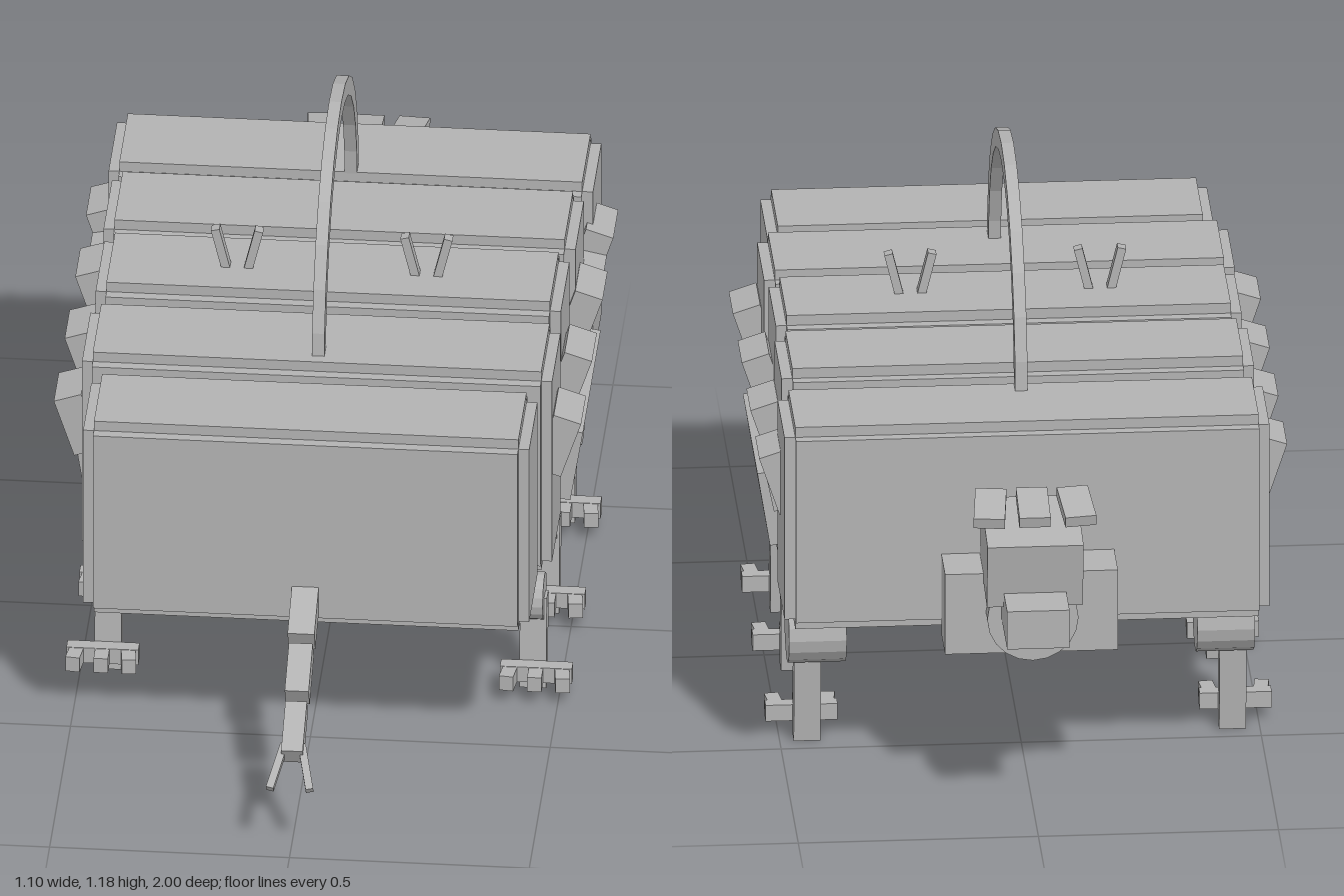
import * as THREE from 'three';

export function createModel() {
  const root = new THREE.Group();
  const grey = new THREE.MeshStandardMaterial({ color: 0xb2b2b2, flatShading: true });
  grey.name = 'plain grey';

  const add = (name, geo, pos, rot = [0, 0, 0], parent = root) => {
    const mesh = new THREE.Mesh(geo, grey);
    mesh.name = name;
    mesh.position.set(...pos);
    mesh.rotation.set(...rot);
    parent.add(mesh);
    return mesh;
  };
  const box = (name, size, pos, rot, parent) =>
    add(name, new THREE.BoxGeometry(...size), pos, rot, parent);

  // Body segments: three crossed boxes give each one stepped edges
  const segments = [ // [z centre, depth, half width, bottom, top]
    [0.502, 0.24, 0.465, 0.344, 0.803],
    [0.24, 0.245, 0.49, 0.34, 0.817],
    [-0.03, 0.25, 0.485, 0.345, 0.83],
    [-0.297, 0.245, 0.492, 0.34, 0.823],
    [-0.567, 0.245, 0.505, 0.35, 0.805],
  ];
  const step = 0.045;
  segments.forEach(([z, d, hw, y0, y1], i) => {
    const seg = new THREE.Group();
    seg.name = 'bodySegment' + (i + 1);
    seg.position.set(0, (y0 + y1) / 2, z);
    const outer = [hw * 2, y1 - y0, d];
    for (let axis = 0; axis < 3; axis++) {
      const size = outer.map((v, k) => (k === axis ? v : v - step));
      box('segmentShell', size, [0, 0, 0], [0, 0, 0], seg);
    }
    root.add(seg);
  });
  box('spineLink', [0.07, 0.07, 0.06], [0, 0.485, 0.37]);

  // Arched handle with a square section
  const arch = new THREE.Shape();
  const sides = 14, rim = [];
  for (let i = 0; i <= sides; i++) rim.push((Math.PI * i) / sides);
  rim.forEach((a, i) => arch[i ? 'lineTo' : 'moveTo'](0.415 * Math.cos(a), 0.415 * Math.sin(a)));
  rim.reverse().forEach((a) => arch.lineTo(0.375 * Math.cos(a), 0.375 * Math.sin(a)));
  const archGeo = new THREE.ExtrudeGeometry(arch, { depth: 0.026, bevelEnabled: false });
  archGeo.translate(0, 0, -0.013);
  add('handle', archGeo, [0, 0.775, -0.095], [0, Math.PI / 2, 0]);

  // Leg: thigh, knee drum, shin, foot bar and three toes
  const legs = [ // [z, knee height, knee radius, knee width, thigh thickness]
    [0.23, 0.215, 0.05, 0.08, 0.05],
    [-0.08, 0.225, 0.046, 0.08, 0.05],
    [-0.455, 0.26, 0.07, 0.12, 0.06],
  ];
  const leg = (s, [z, knee, r, w, t]) => {
    const g = new THREE.Group();
    g.name = 'leg';
    g.position.set(s * 0.425, 0, z);
    box('thigh', [0.055, 0.4 - knee, t], [-s * 0.01, (0.4 + knee) / 2, 0], [0, 0, -s * 0.1], g);
    add('knee', new THREE.CylinderGeometry(r, r, w, 16), [0, knee, 0], [0, 0, Math.PI / 2], g);
    box('shin', [0.056, knee - 0.008, 0.04], [s * 0.018, knee / 2 + 0.006, 0.005], [-0.08, 0, 0], g);
    box('footBar', [0.15, 0.036, 0.03], [s * 0.027, 0.058, 0.045], [0, 0, 0], g);
    for (const k of [-1, 0, 1])
      box('toe', [0.03, 0.034, 0.05], [s * 0.027 + k * 0.056, 0.058, 0.075], [0, k * 0.12, 0], g);
    root.add(g);
  };

  for (const s of [-1, 1]) {
    legs.forEach((l) => leg(s, l));

    // Tilted side pads
    for (const z of [0.272, 0.012, -0.243, -0.498])
      box('sidePad', [0.06, 0.135, 0.118], [s * 0.5, 0.635, z], [0, 0, -s * 0.32]);
    box('rearPad', [0.06, 0.12, 0.09], [s * 0.495, 0.595, -0.42], [0, 0, -s * 0.2]);
    box('sideSkirt', [0.055, 0.165, 0.425], [s * 0.495, 0.47, -0.09], [0, 0, -s * 0.16]);

    // V-shaped pairs of rods on the back
    box('rod', [0.018, 0.11, 0.024], [s * 0.23, 0.865, -0.022], [0, 0, -s * 0.24]);
    box('rod', [0.018, 0.11, 0.024], [s * 0.165, 0.865, -0.022], [0, 0, s * 0.24]);
    for (const x of [0.28, 0.32])
      box('backLink', [0.014, 0.02, 0.06], [s * x, 0.74, -0.165]);

    // Forked tail tip
    box('tailFork', [0.016, 0.016, 0.105], [s * 0.03, 0.198, 0.953], [0.6, s * 0.22, 0]);
  }

  // Tail pieces, dropping toward the tip
  box('tailPiece', [0.056, 0.055, 0.12], [0, 0.39, 0.66], [0.47, 0, 0]);
  box('tailPiece', [0.05, 0.052, 0.115], [0, 0.315, 0.765], [0.52, 0, 0]);
  box('tailPiece', [0.045, 0.045, 0.12], [0, 0.242, 0.88], [0.52, 0, 0]);

  // Head: collar, jaw drum, skull, snout and crest plates
  box('collar', [0.36, 0.18, 0.11], [0, 0.43, -0.745]);
  add('jawDrum', new THREE.CylinderGeometry(0.095, 0.095, 0.12, 20), [0, 0.433, -0.78], [Math.PI / 2, 0, 0]);
  box('skull', [0.2, 0.145, 0.2], [0, 0.572, -0.81], [-0.15, 0, 0]);
  box('snout', [0.13, 0.085, 0.18], [0, 0.475, -0.91]);
  for (const k of [-1, 0, 1])
    box('crestPlate', [0.065, 0.024, 0.11], [k * 0.09, 0.688, -0.85], [-0.22, k * -0.1, 0]);

  return root;
}
